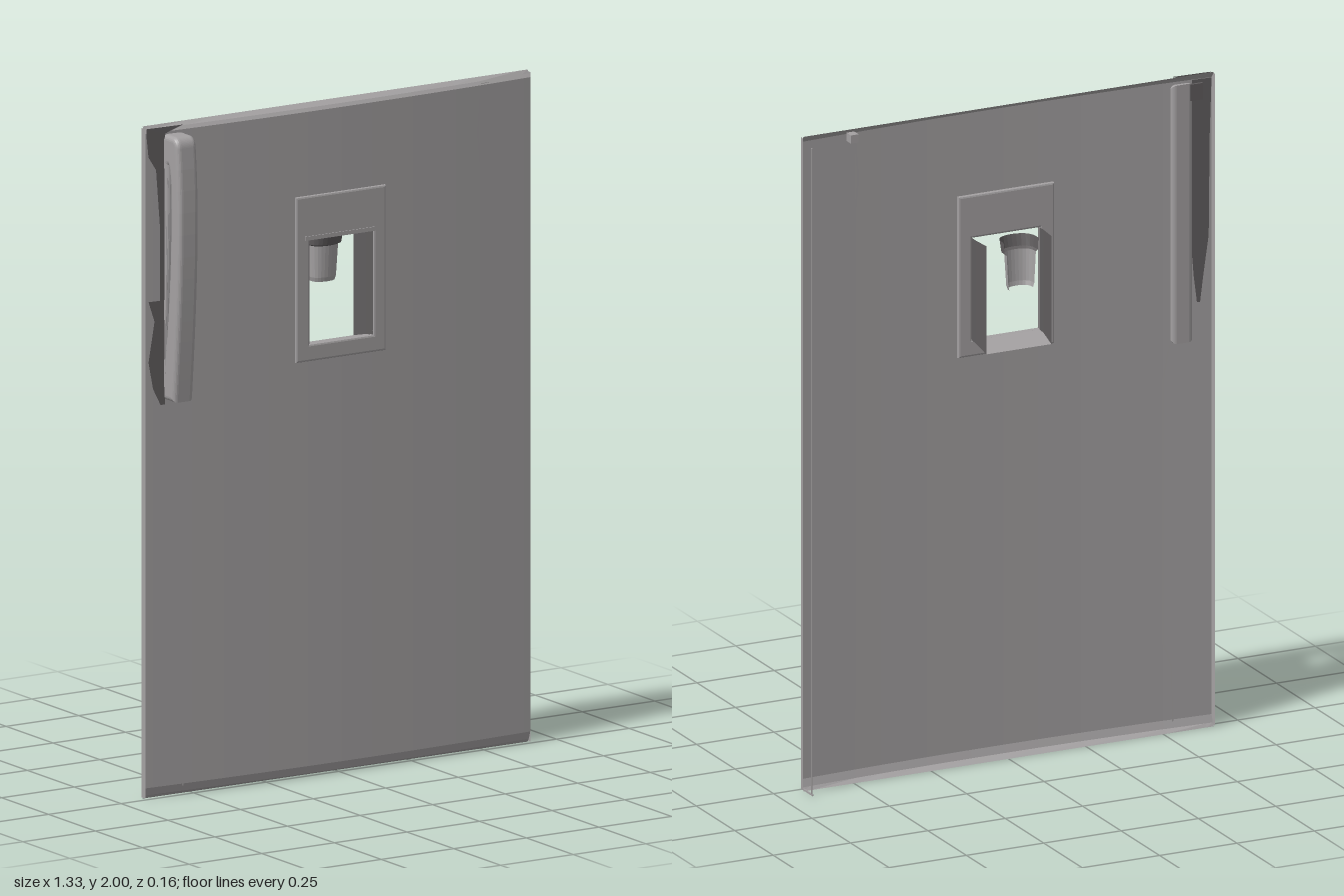
import * as THREE from 'three';

const grey = new THREE.MeshStandardMaterial({ name: 'satin grey', color: 0xa4a1a2, side: THREE.DoubleSide });
const dark = new THREE.MeshStandardMaterial({ name: 'dark recess', color: 0x605d5e, side: THREE.DoubleSide });

// depth of the gently bowed skin at a given x
const skinZ = (x) => 0.014 - 0.044 * x * x;

function add(parent, name, geometry, material = grey) {
  const mesh = new THREE.Mesh(geometry, material);
  mesh.name = name;
  parent.add(mesh);
  return mesh;
}

function box(parent, name, x0, x1, y0, y1, z0, z1, material = grey) {
  const g = new THREE.BoxGeometry(x1 - x0, y1 - y0, z1 - z0);
  g.translate((x0 + x1) / 2, (y0 + y1) / 2, (z0 + z1) / 2);
  return add(parent, name, g, material);
}

// skin a list of rows of points; keep(i, j) decides which cells are filled
function sheet(rows, keep = () => true) {
  const n = rows[0].length, index = [];
  for (let i = 0; i < rows.length - 1; i++) {
    for (let j = 0; j < n - 1; j++) {
      if (!keep(i, j)) continue;
      const a = i * n + j, b = a + 1, c = a + n, d = c + 1;
      index.push(a, b, d, a, d, c);
    }
  }
  const g = new THREE.BufferGeometry();
  g.setAttribute('position', new THREE.Float32BufferAttribute(rows.flat(2), 3));
  g.setIndex(index);
  const flat = g.toNonIndexed();
  flat.computeVertexNormals();
  return flat;
}

// thin strip lying on the skin; spans are [y, x0, x1] from top to bottom
const patch = (spans, dz) => sheet([1, 2].map((k) => spans.map((s) => [s[k], s[0], skinZ(s[k]) + dz])));

function rect(x0, x1, y0, y1, Type = THREE.Shape) {
  const s = new Type();
  s.moveTo(x0, y0);
  s.lineTo(x1, y0);
  s.lineTo(x1, y1);
  s.lineTo(x0, y1);
  s.closePath();
  return s;
}

export function createModel() {
  const model = new THREE.Group();
  model.name = 'applianceDoor';

  // bowed door skin with a window cell left open
  const xs = [-0.663, -0.64, -0.51, -0.4, -0.25, -0.113, 0, 0.106, 0.25, 0.4, 0.485, 0.64, 0.663];
  const ys = [0.012, 0.035, 1.29, 1.6, 1.98, 1.99];
  const rows = ys.map((y, i) => xs.map((x) => {
    const rounded = (i === 0 || i === 5) ? 0.008 : 0;
    return [x, y, skinZ(x) - rounded];
  }));
  add(model, 'doorSkin', sheet(rows, (i, j) => !(i === 2 && xs[j] >= -0.113 && xs[j + 1] <= 0.106)));

  // lips folded back along the four edges
  const edge = (y0, y1) => sheet([
    xs.map((x) => [x, y0, skinZ(x) - 0.008]),
    xs.map((x) => [x, y1, -0.02]),
  ]);
  add(model, 'topLip', edge(1.99, 2));
  add(model, 'bottomLip', edge(0.012, 0.002));
  for (const s of [-1, 1]) {
    add(model, s > 0 ? 'leftLip' : 'rightLip', sheet([
      [[s * 0.663, 0.005, -0.005], [s * 0.663, 1.995, -0.005]],
      [[s * 0.665, 0.005, -0.022], [s * 0.665, 1.995, -0.022]],
    ]));
  }

  // fine seams down both sides
  const seams = {
    rightSeam: [[-0.54, 0.03], [-0.535, 0.2], [-0.51, 0.27], [-0.51, 1.08], [-0.53, 1.18]],
    leftSeam: [[0.515, 0.04], [0.505, 0.17], [0.487, 0.22], [0.487, 1.72], [0.475, 1.84], [0.487, 1.98]],
  };
  for (const [name, pts] of Object.entries(seams)) {
    for (const dz of [-0.002, 0.002]) {
      add(model, name, patch(pts.map(([x, y]) => [y, x - 0.002, x + 0.002]), dz));
    }
  }

  // loose edge strip behind the left side
  box(model, 'edgeStrip', 0.66, 0.664, 0.005, 1.98, -0.073, -0.069);
  box(model, 'edgeStripFoot', 0.66, 0.664, 0.005, 0.01, -0.08, -0.02);

  // small hinge tabs on the back
  box(model, 'hingeTab', 0.49, 0.515, 1.96, 1.985, -0.03, 0);
  box(model, 'cornerTab', -0.63, -0.59, 1.92, 1.97, -0.016, -0.008, dark);

  // dark pocket beside the handle: broken patches in front, one long one behind
  add(model, 'pocketTop', patch([[1.995, -0.662, -0.54], [1.975, -0.662, -0.6], [1.91, -0.655, -0.6], [1.87, -0.63, -0.6]], 0.004), dark);
  add(model, 'pocketSlot', patch([[1.87, -0.63, -0.6], [1.7, -0.617, -0.6], [1.48, -0.617, -0.6]], 0.004), dark);
  add(model, 'pocketBottom', patch([[1.48, -0.655, -0.6], [1.42, -0.635, -0.6], [1.3, -0.655, -0.6], [1.22, -0.64, -0.6], [1.17, -0.615, -0.6]], 0.004), dark);
  add(model, 'pocketBack', patch([[1.98, -0.661, -0.6], [1.8, -0.655, -0.595], [1.5, -0.652, -0.595], [1.38, -0.635, -0.605], [1.3, -0.625, -0.615]], -0.004), dark);

  // arched handle: side profile (z, y) with a finger gap, extruded across x
  const side = new THREE.Shape();
  side.moveTo(0.004, 1.198);
  side.lineTo(0.038, 1.198);
  side.bezierCurveTo(0.056, 1.4, 0.083, 1.7, 0.057, 1.94);
  side.quadraticCurveTo(0.055, 1.957, 0.043, 1.957);
  side.lineTo(0.004, 1.957);
  side.closePath();
  const gap = new THREE.Path();
  gap.moveTo(0.006, 1.25);
  gap.lineTo(0.006, 1.89);
  gap.quadraticCurveTo(0.036, 1.92, 0.044, 1.84);
  gap.bezierCurveTo(0.05, 1.65, 0.038, 1.45, 0.006, 1.25);
  side.holes.push(gap);
  const handle = new THREE.ExtrudeGeometry(side, {
    depth: 0.04, bevelSize: 0.015, bevelThickness: 0.015, bevelSegments: 5, curveSegments: 12,
  });
  handle.rotateY(-Math.PI / 2);
  handle.translate(-0.548, 0, 0);
  add(model, 'handle', handle);

  // dispenser surround
  const dispenser = new THREE.Group();
  dispenser.name = 'dispenser';
  model.add(dispenser);
  const surround = rect(-0.154, 0.144, 1.245, 1.725);
  surround.holes.push(rect(-0.119, 0.112, 1.284, 1.606, THREE.Path));
  add(dispenser, 'surround', new THREE.ExtrudeGeometry(surround, {
    depth: 0.008, bevelSize: 0.006, bevelThickness: 0.005, bevelSegments: 2,
  })).position.z = 0.008;
  box(dispenser, 'upperRidge', -0.13, 0.11, 1.6, 1.612, 0.01, 0.024);

  // well running back from the window: grey floor, dark walls, open above
  const stations = [[0.018, -0.113, 0.106, 1.29], [-0.02, -0.113, 0.106, 1.285], [-0.08, -0.108, 0.102, 1.27]];
  add(dispenser, 'wellFloor', sheet(stations.map(([z, x0, x1, y]) => [[x0, y, z], [x1, y, z]])));
  for (const k of [1, 2]) {
    add(dispenser, 'wellWall', sheet(stations.map((s) => [[s[k], s[3], s[0]], [s[k], 1.6, s[0]]])), dark);
  }

  // curved spout, open at the back, under a wider dark collar
  const spoutRow = (y, w, z) => Array.from({ length: 13 }, (_, i) => {
    const a = Math.PI * i / 12;
    return [-0.012 - w * Math.cos(a), y, -0.078 + z * Math.pow(Math.sin(a), 0.6)];
  });
  add(dispenser, 'spout', sheet([spoutRow(1.452, 0.038, 0.035), spoutRow(1.465, 0.042, 0.038), spoutRow(1.56, 0.047, 0.045)]));
  add(dispenser, 'spoutCollar', sheet([spoutRow(1.56, 0.047, 0.045), spoutRow(1.565, 0.054, 0.056), spoutRow(1.6, 0.057, 0.066)]), dark);
  return model;
}
